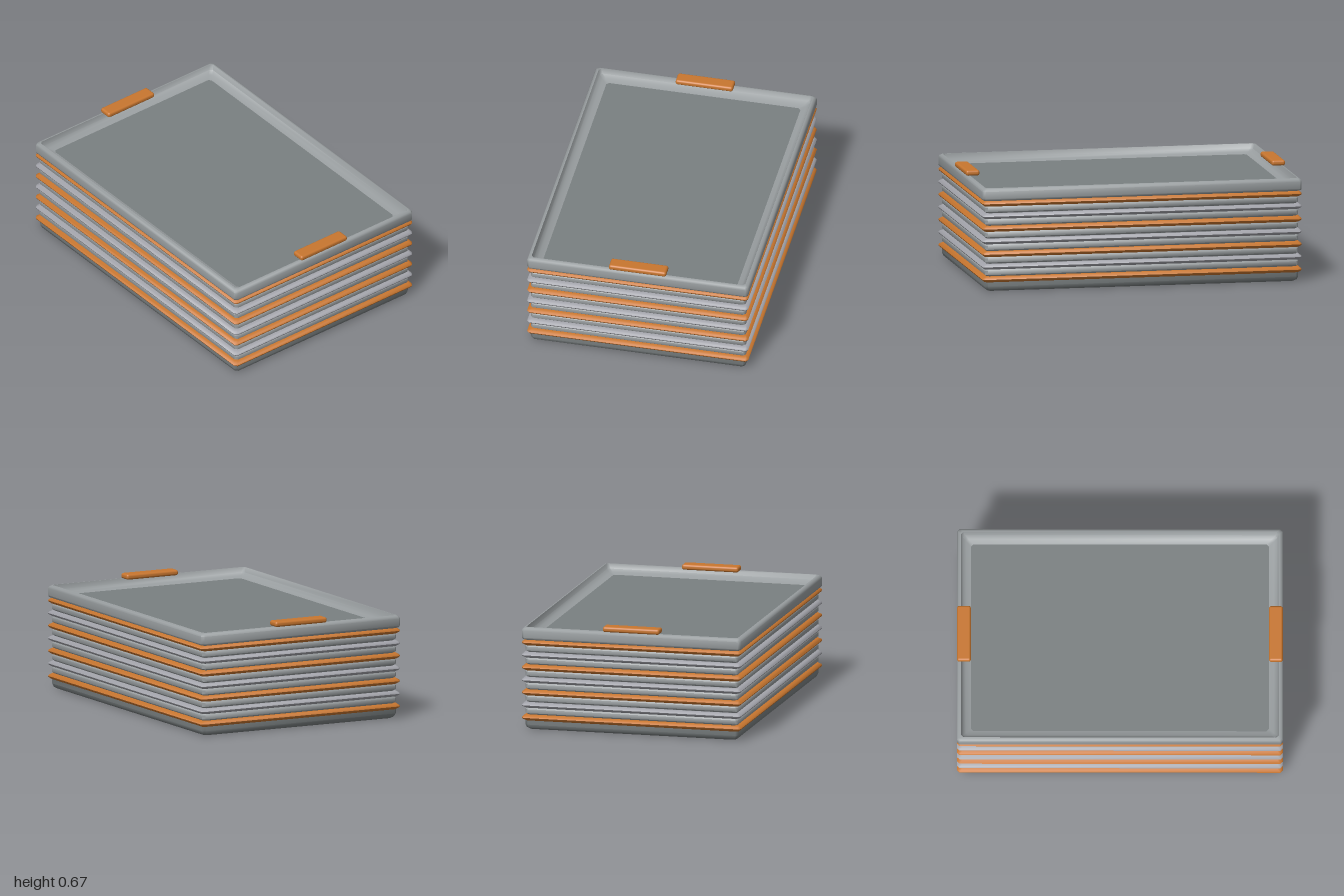
import * as THREE from 'three';
import { toCreasedNormals } from 'three/addons/utils/BufferGeometryUtils.js';
import { RoundedBoxGeometry } from 'three/addons/geometries/RoundedBoxGeometry.js';

const HALF_W = 1, HALF_D = 0.695;
const CENTRE = 1; // inset that collapses a ring to the middle, closing the shape

function material(name, color) {
  const m = new THREE.MeshStandardMaterial({ color });
  m.name = name;
  return m;
}

// Rectangle with slightly cut corners, set in from the outer footprint
function ring(inset, y) {
  const w = Math.max(0, HALF_W - inset), d = Math.max(0, HALF_D - inset);
  const c = Math.min(0.015, w, d);
  return [[w, -d + c], [w, d - c], [w - c, d], [-w + c, d],
    [-w, d - c], [-w, -d + c], [-w + c, -d], [w - c, -d]].map(([x, z]) => [x, y, z]);
}

// Sweeps a profile of [inset, y] points around the rectangular footprint
function rectLoft(profile, crease = 0.9) {
  const rings = profile.map(([inset, y]) => ring(inset, y));
  const pos = [];
  for (let j = 0; j < rings.length - 1; j++) {
    for (let i = 0; i < 8; i++) {
      const k = (i + 1) % 8;
      const a = rings[j][i], b = rings[j][k], c = rings[j + 1][i], d = rings[j + 1][k];
      pos.push(...a, ...c, ...b, ...b, ...c, ...d);
    }
  }
  const geo = new THREE.BufferGeometry();
  geo.setAttribute('position', new THREE.Float32BufferAttribute(pos, 3));
  return toCreasedNormals(geo, crease);
}

export function createModel() {
  const model = new THREE.Group();
  model.name = 'storageTray';
  const shellGrey = material('shellGrey', 0x999ea0);
  const ridgeGrey = material('ridgeGrey', 0xa3a4ab);
  const darkGrey = material('darkGrey', 0x7a8081);
  const orange = material('orange', 0xc8762f);

  const add = (name, geo, mat) => {
    const mesh = new THREE.Mesh(geo, mat);
    mesh.name = name;
    model.add(mesh);
    return mesh;
  };

  // Closed base with a bevelled lower edge
  add('base', rectLoft([[CENTRE, 0], [0.042, 0], [0.027, 0.01], [0.019, 0.03], [0.019, 0.08]]), darkGrey);

  // Alternating orange bands and grey ridges, with a wall course above each
  const step = 0.0785;
  for (let i = 0; i < 7; i++) {
    const y = 0.075 + i * step, isBand = i % 2 === 0;
    const h = isBand ? 0.018 : 0.017;
    add(isBand ? 'band' : 'ridge', rectLoft([
      [0.04, y - h], [0.018, y - h], [0.004, y - 0.008], [0, y],
      [0.004, y + 0.008], [0.018, y + h], [0.04, y + h],
    ]), isBand ? orange : ridgeGrey);
    if (i < 6) {
      const top = y + step;
      add('wallCourse', rectLoft([
        [0.032, y], [0.03, y + 0.018], [0.019, y + 0.027], [0.019, top - 0.027], [0.028, top - 0.017], [0.032, top],
      ]), shellGrey);
    }
  }

  // Rim with bevelled outside and a dished inside
  add('rim', rectLoft([
    [0.04, 0.55], [0.018, 0.562], [0.004, 0.568], [0, 0.578], [0, 0.622], [0.006, 0.634], [0.019, 0.642],
    [0.024, 0.642], [0.034, 0.612], [0.055, 0.595], [0.085, 0.586],
  ]), shellGrey);

  // Recessed floor
  const floor = new THREE.PlaneGeometry(1.83, 1.22).rotateX(-Math.PI / 2);
  add('floor', floor, darkGrey).position.y = 0.586;

  // Grips on the two short sides
  for (const side of [-1, 1]) {
    const grip = add('handle', new RoundedBoxGeometry(0.085, 0.034, 0.36, 3, 0.014), orange);
    grip.position.set(side * 0.9575, 0.656, 0);
  }
  return model;
}
